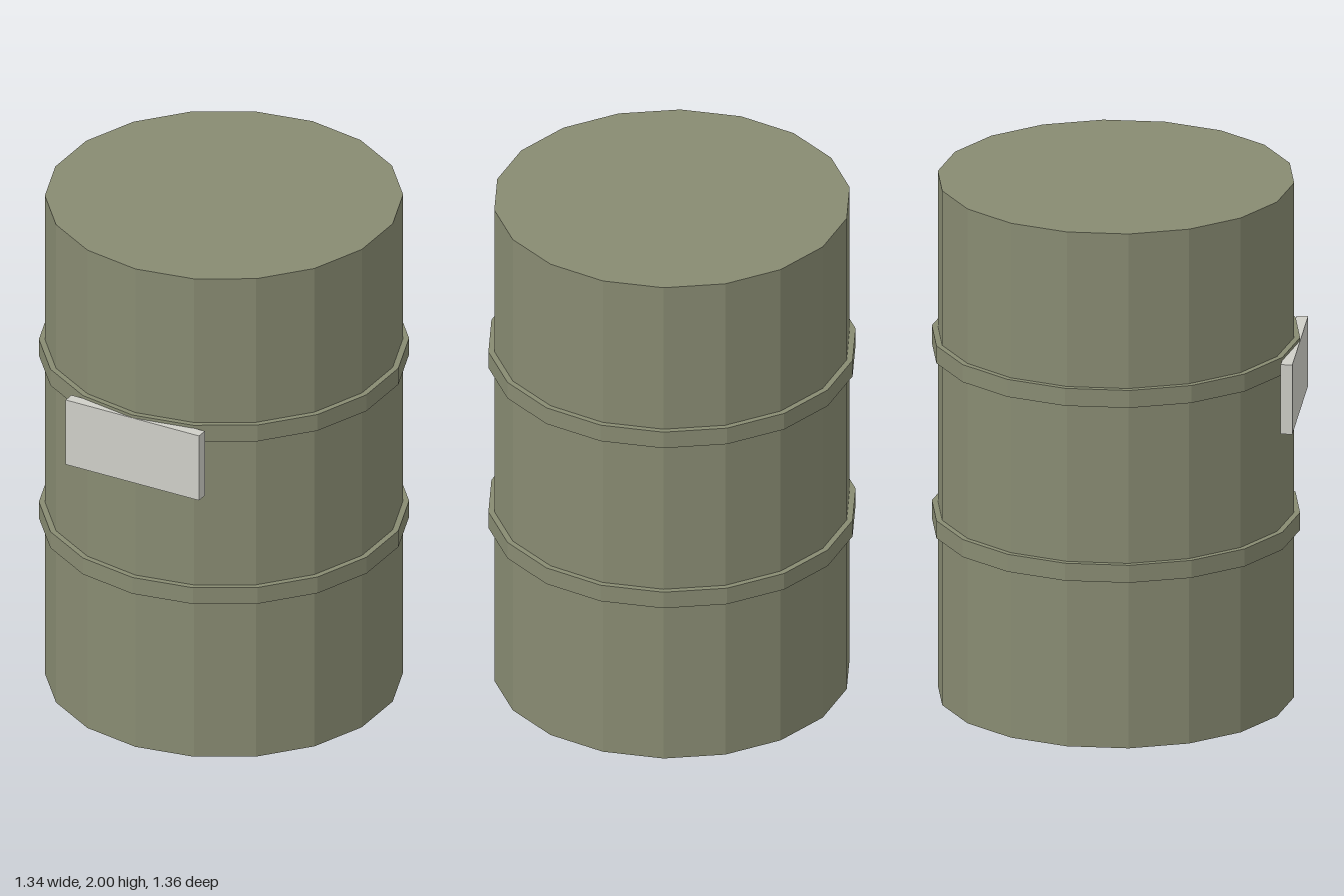
import * as THREE from 'three';

const SIDES = 18;

export function createModel() {
  const model = new THREE.Group();
  model.name = 'barrel';

  const olive = new THREE.MeshStandardMaterial({ color: 0x888b72, flatShading: true });
  olive.name = 'olive paint';
  const paleGrey = new THREE.MeshStandardMaterial({ color: 0xcfcfc8, flatShading: true });
  paleGrey.name = 'pale grey label';

  const add = (name, geometry, material, y, z = 0) => {
    const mesh = new THREE.Mesh(geometry, material);
    mesh.name = name;
    mesh.position.set(0, y, z);
    model.add(mesh);
  };

  // Closed drum, with a corner of the polygon facing the front
  add('drumBody', new THREE.CylinderGeometry(0.66, 0.66, 2, SIDES), olive, 1);

  // Two raised hoops
  const hoop = new THREE.CylinderGeometry(0.682, 0.682, 0.068, SIDES);
  add('lowerHoop', hoop, olive, 0.685);
  add('upperHoop', hoop, olive, 1.365);

  // Flat label plate on the front
  add('labelPlate', new THREE.BoxGeometry(0.565, 0.27, 0.043), paleGrey, 1.252, 0.661);

  return model;
}
